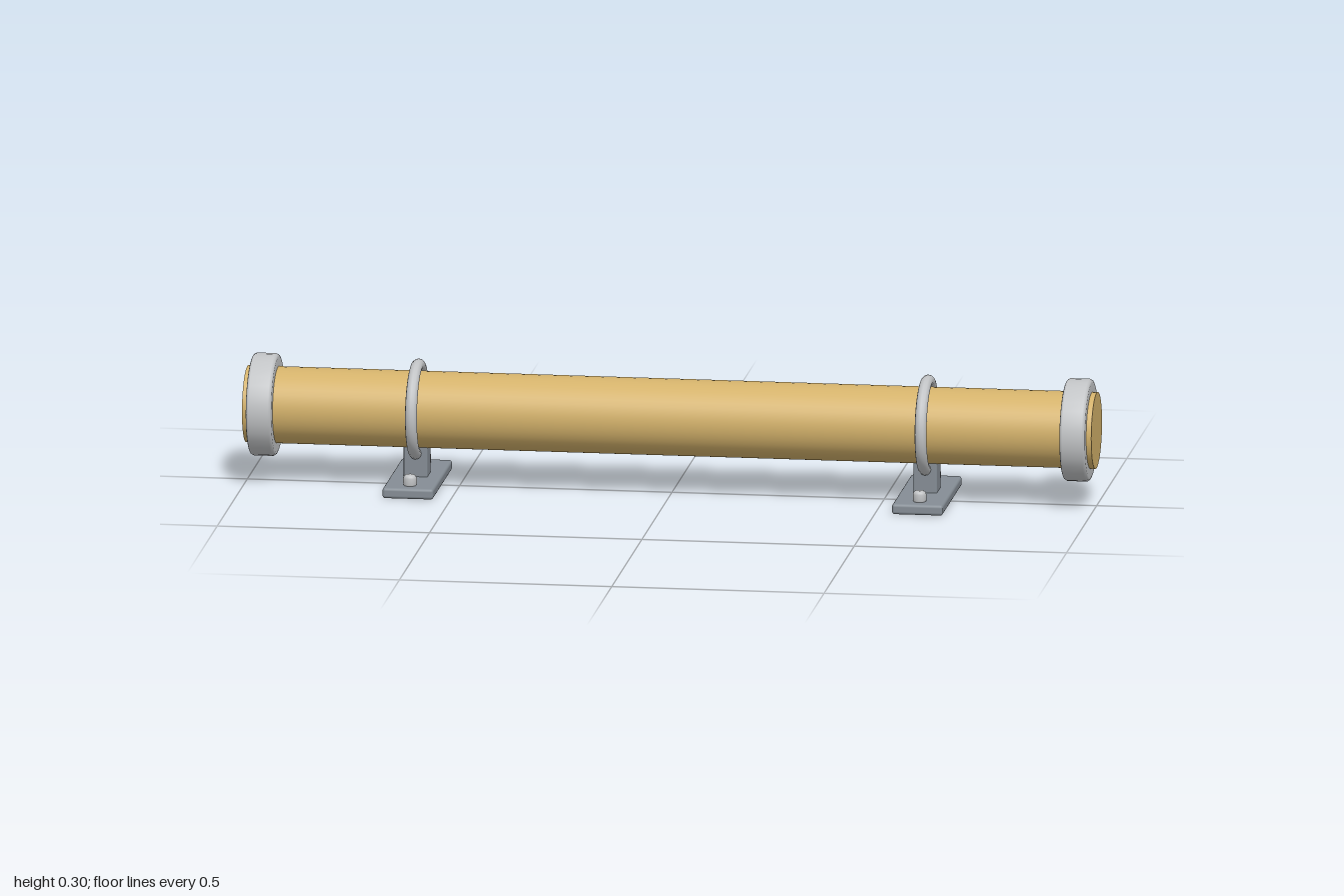
import * as THREE from 'three';
import { RoundedBoxGeometry } from 'three/addons/geometries/RoundedBoxGeometry.js';

const AXIS_Y = 0.18;

function material(name, color) {
  const m = new THREE.MeshStandardMaterial({ color });
  m.name = name;
  return m;
}

function add(parent, name, geometry, mat, x, y, z) {
  const mesh = new THREE.Mesh(geometry, mat);
  mesh.name = name;
  mesh.position.set(x, y, z);
  parent.add(mesh);
  return mesh;
}

const lathe = (points, sides) =>
  new THREE.LatheGeometry(points.map(([r, y]) => new THREE.Vector2(r, y)), sides);

export function createModel() {
  const group = new THREE.Group();
  group.name = 'mountedRail';
  const wood = material('wood', 0xd4b26b);
  const steel = material('brushedSteel', 0xc2c4c6);
  const iron = material('greyIron', 0x858d95);

  // Wooden bar along x
  const barGeo = new THREE.CylinderGeometry(0.09, 0.09, 2, 40).rotateZ(Math.PI / 2);
  add(group, 'bar', barGeo, wood, 0, AXIS_Y, 0);

  // Ring collar with softened outer edges
  const collarGeo = lathe([
    [0.089, -0.03], [0.112, -0.03], [0.117, -0.028], [0.12, -0.023],
    [0.12, 0.023], [0.117, 0.028], [0.112, 0.03], [0.089, 0.03],
  ], 32).rotateZ(Math.PI / 2);

  const hoopGeo = new THREE.TorusGeometry(0.104, 0.014, 12, 40).rotateY(Math.PI / 2);
  const plateGeo = new RoundedBoxGeometry(0.12, 0.025, 0.32, 3, 0.007);
  const postGeo = new RoundedBoxGeometry(0.056, 0.08, 0.06, 2, 0.004);
  // Domed bolt head
  const boltGeo = lathe([
    [0.014, 0], [0.016, 0.004], [0.016, 0.018], [0.014, 0.023], [0.01, 0.026], [0, 0.026],
  ], 16);

  for (const side of [-1, 1]) {
    const label = side > 0 ? 'left' : 'right';
    add(group, label + 'Collar', collarGeo, steel, side * 0.958, AXIS_Y, 0);

    // Bracket: foot plate, post, hoop and two bolts
    const bracket = new THREE.Group();
    bracket.name = label + 'Bracket';
    bracket.position.x = side * 0.6;
    group.add(bracket);
    add(bracket, 'footPlate', plateGeo, iron, 0, 0.0125, 0);
    add(bracket, 'post', postGeo, iron, 0, 0.06, 0);
    add(bracket, 'hoop', hoopGeo, steel, 0, AXIS_Y, 0);
    for (const z of [-0.12, 0.12]) add(bracket, 'bolt', boltGeo, steel, 0, 0.024, z);
  }
  return group;
}
